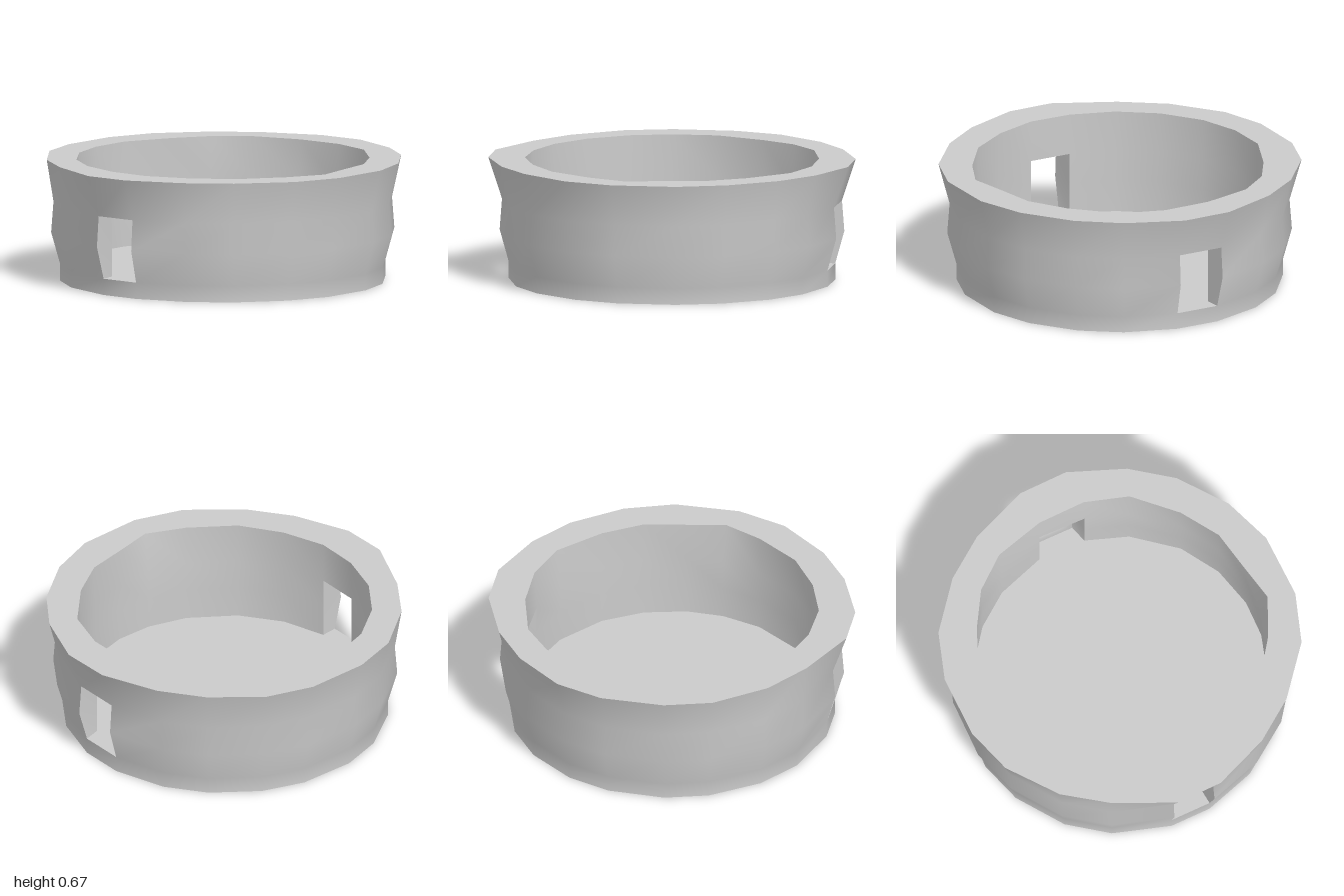
import * as THREE from 'three';

// Rim corners as [x, z], running from the left opening towards the front
const OUTER = [[1, .16], [.87, .47], [.7, .69], [.44, .88], [.17, .975], [-.19, .975], [-.46, .88],
  [-.72, .66], [-.88, .43], [-1, .12], [-1, -.14], [-.84, -.47], [-.67, -.7], [-.4, -.9],
  [-.14, -.975], [.21, -.97], [.47, -.88], [.72, -.67], [.88, -.44], [1, -.12]];
const INNER = [[.8, .17], [.72, .41], [.51, .62], [.3, .75], [.07, .79], [-.14, .83], [-.35, .73],
  [-.58, .56], [-.72, .34], [-.8, .1], [-.79, -.14], [-.71, -.38], [-.56, -.58], [-.35, -.73],
  [-.12, -.8], [.13, -.8], [.4, -.68], [.59, -.56], [.73, -.38], [.8, -.1]];
const N = OUTER.length;
const OPENINGS = [N - 1, 9]; // wall segments with a window
const FLOOR_Y = 0.09, LINTEL_Y = 0.44, TOP_Y = 0.67;

const material = new THREE.MeshStandardMaterial({ color: 0xcccccc, side: THREE.DoubleSide });

// A ring of corners at height y, optionally pulled to one radius
const ring = (points, y, radius) => points.map(([x, z]) => {
  const k = radius === undefined ? 1 : radius / Math.hypot(x, z);
  return [x * k, y, z * k];
});

// Skin a stack of equal-length rings; hole(row, column) leaves a face out
function loft(name, rings, { closed = true, flip = false, hole = () => false } = {}) {
  const n = rings[0].length, index = [];
  for (let r = 0; r < rings.length - 1; r++) {
    for (let i = 0; i < (closed ? n : n - 1); i++) {
      if (hole(r, i)) continue;
      const j = (i + 1) % n;
      const a = r * n + i, b = r * n + j, c = a + n, d = b + n;
      index.push(...(flip ? [a, b, c, b, d, c] : [a, c, b, b, c, d]));
    }
  }
  const geometry = new THREE.BufferGeometry();
  geometry.setAttribute('position', new THREE.Float32BufferAttribute(rings.flat(2), 3));
  geometry.setIndex(index);
  geometry.computeVertexNormals();
  const mesh = new THREE.Mesh(geometry, material);
  mesh.name = name;
  return mesh;
}

export function createModel() {
  const model = new THREE.Group();
  model.name = 'openRingBowl';

  const outer = [
    ring(OUTER, 0, 0.895),
    ring(OUTER, FLOOR_Y, 0.895),
    ring(OUTER, 0.27, 0.945),
    ring(OUTER, LINTEL_Y, 0.932),
    ring(OUTER, TOP_Y),
  ];
  const inner = [
    ring(INNER, FLOOR_Y, 0.805),
    ring(INNER, 0.27, 0.805),
    ring(INNER, LINTEL_Y, 0.805),
    ring(INNER, TOP_Y),
  ];
  const isOpening = (i) => OPENINGS.includes(i);

  // Wall skins, flat rim and recessed floor
  model.add(
    loft('outerWall', outer, { hole: (r, i) => (r === 1 || r === 2) && isOpening(i) }),
    loft('innerWall', inner, { flip: true, hole: (r, i) => r < 2 && isOpening(i) }),
    loft('rim', [outer[4], inner[3]]),
    loft('floor', [outer[1], outer[1].map(() => [0, FLOOR_Y, 0])]),
  );

  // Jambs and lintel lining each window
  for (const i of OPENINGS) {
    const j = (i + 1) % N;
    const frame = new THREE.Group();
    frame.name = i === 9 ? 'rightWindow' : 'leftWindow';
    for (const k of [i, j]) {
      const rows = [0, 1, 2].map((r) => [outer[r + 1][k], inner[r][k]]);
      frame.add(loft('jamb', rows, { closed: false, flip: k === i }));
    }
    frame.add(loft('lintel', [[outer[3][i], outer[3][j]], [inner[2][i], inner[2][j]]],
      { closed: false, flip: true }));
    model.add(frame);
  }
  return model;
}
